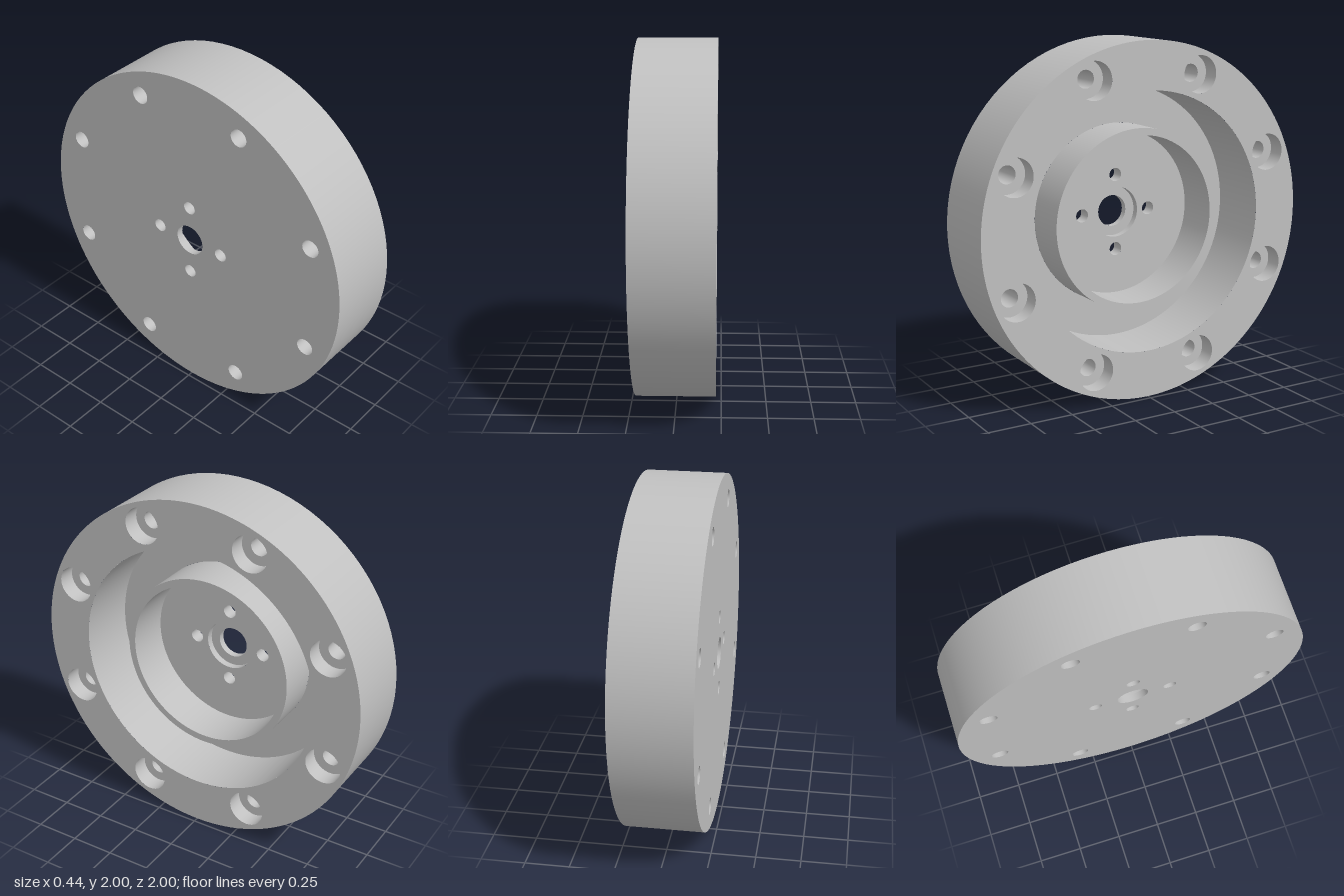
import * as THREE from 'three';

const SEG = 96;
const metal = new THREE.MeshStandardMaterial({ color: 0xc0c0c0 });
metal.name = 'grey metal';

// Depths along the axis, open side positive
const BACK = -0.22, FACE = 0.22, FLOOR = -0.14, RIM = 0.12, SEAT = 0.12, HUB = -0.18;

// Circle centres
const ring = (count, radius, start) => Array.from({ length: count }, (_, i) => {
  const a = start + (i / count) * Math.PI * 2;
  return [Math.cos(a) * radius, Math.sin(a) * radius];
});
const bolts = ring(8, 0.866, Math.PI / 8);
const pins = ring(4, 0.217, 0);
const centre = [[0, 0]];
const circles = (centres, r) => centres.map(([x, y]) => [x, y, r]);

export function createModel() {
  const model = new THREE.Group();
  model.name = 'flange';
  const body = new THREE.Group();
  body.name = 'flangeBody';
  model.add(body);

  const add = (name, geometry) => {
    const mesh = new THREE.Mesh(geometry, metal);
    mesh.name = name;
    body.add(mesh);
  };

  // Flat round face with round holes
  const face = (name, [x, y, r], holes, depth, backward = false) => {
    const shape = new THREE.Shape().absarc(x, y, r, 0, Math.PI * 2);
    for (const [hx, hy, hr] of holes) {
      shape.holes.push(new THREE.Path().absarc(hx, hy, hr, 0, Math.PI * 2, true));
    }
    const geometry = new THREE.ShapeGeometry(shape, SEG);
    if (backward) geometry.rotateY(Math.PI);
    add(name, geometry.translate(0, 0, depth));
  };

  // Round wall; inward walls line holes and pockets
  const wall = (name, [x, y, r], from, to, inward = false) => {
    const ends = inward ? [to, from] : [from, to];
    const geometry = new THREE.LatheGeometry(ends.map((d) => new THREE.Vector2(r, d)), SEG);
    add(name, geometry.rotateX(Math.PI / 2).translate(x, y, 0));
  };

  const boltHoles = circles(bolts, 0.05);
  const boltSeats = circles(bolts, 0.105);
  const pinHoles = circles(pins, 0.038);
  const [bore] = circles(centre, 0.09);
  const [hub] = circles(centre, 0.145);
  const [ringInner] = circles(centre, 0.475);
  const [ringOuter] = circles(centre, 0.515);
  const [pocket] = circles(centre, 0.73);
  const [outer] = circles(centre, 1);

  // Outer disc
  wall('outerWall', outer, BACK, FACE);
  face('backFace', outer, [...boltHoles, ...pinHoles, bore], BACK, true);
  face('frontFlange', outer, [...boltSeats, pocket], FACE);

  // Annular pocket around the raised ring
  wall('pocketWall', pocket, FLOOR, FACE, true);
  face('pocketFloor', pocket, [ringOuter], FLOOR);
  wall('ringOuterWall', ringOuter, FLOOR, RIM);
  face('ringRim', ringOuter, [ringInner], RIM);
  wall('ringInnerWall', ringInner, FLOOR, RIM, true);
  face('innerFloor', ringInner, [...pinHoles, hub], FLOOR);

  // Stepped centre bore
  wall('hubRecessWall', hub, HUB, FLOOR, true);
  face('hubRecessFloor', hub, [bore], HUB);
  wall('boreWall', bore, BACK, HUB, true);

  // Pin holes and counterbored bolt holes
  pinHoles.forEach((hole) => wall('pinHole', hole, BACK, FLOOR, true));
  boltHoles.forEach((hole, i) => {
    wall('boltHole', hole, BACK, SEAT, true);
    face('boltSeat', boltSeats[i], [hole], SEAT);
    wall('boltSeatWall', boltSeats[i], SEAT, FACE, true);
  });

  // Stand the disc upright with its open side toward +x
  body.rotation.y = Math.PI / 2;
  body.position.y = 1;
  return model;
}
